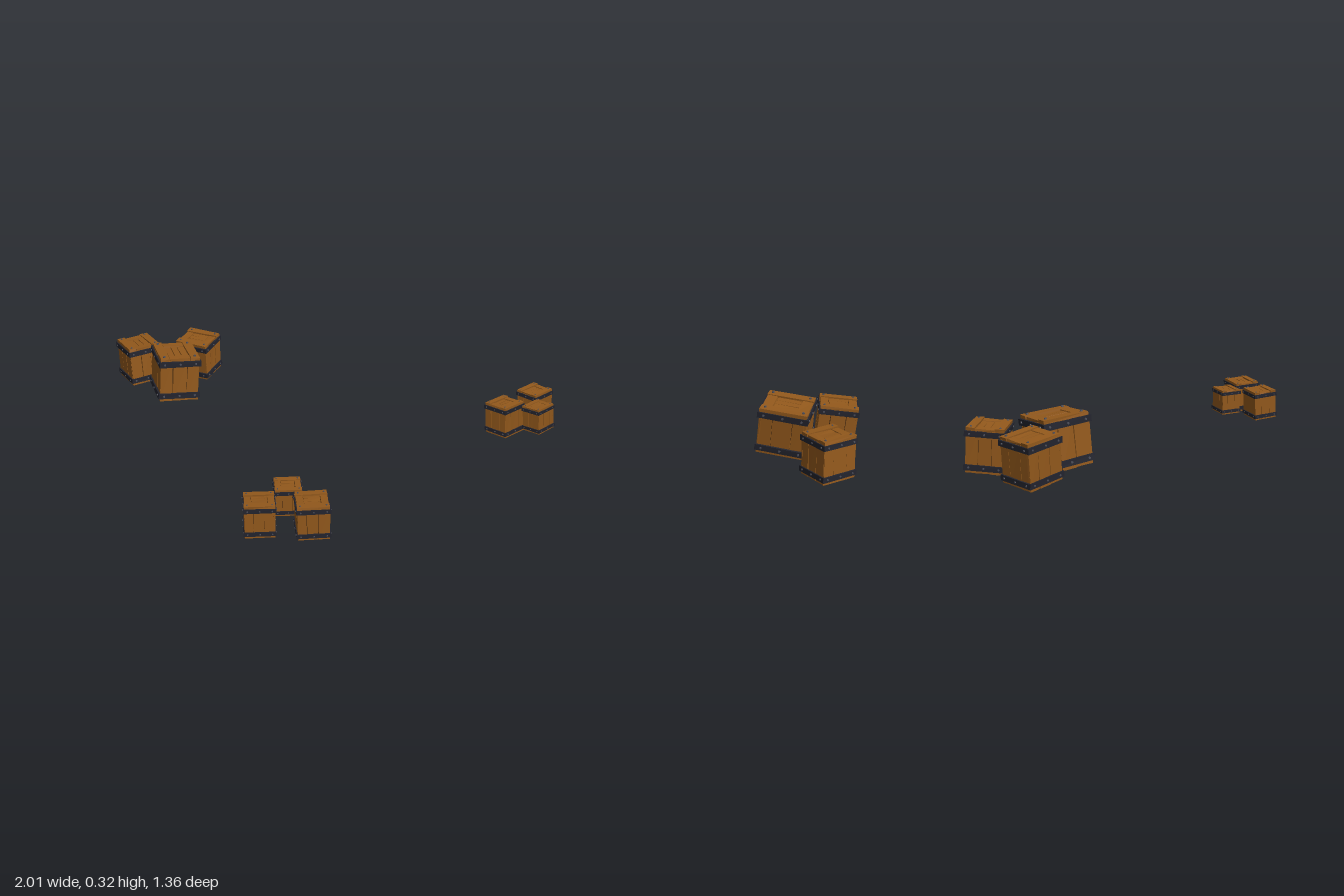
import * as THREE from 'three';

const mat = (name, color) => Object.assign(new THREE.MeshStandardMaterial({ color }), { name });

// small seeded generator for hand-cut irregularity
function makeRandom(seed) {
  let s = seed;
  return () => ((s = (s * 16807) % 2147483647) / 2147483647) - 0.5;
}

// box with eight slightly displaced corners
function roughBox(w, h, d, rand, jitter) {
  const geo = new THREE.BoxGeometry(w, h, d).toNonIndexed();
  const offsets = Array.from({ length: 8 }, () => [rand() * jitter, rand() * jitter, rand() * jitter]);
  const p = geo.attributes.position;
  for (let i = 0; i < p.count; i++) {
    const o = offsets[(p.getX(i) > 0) * 1 + (p.getY(i) > 0) * 2 + (p.getZ(i) > 0) * 4];
    p.setXYZ(i, p.getX(i) + o[0], p.getY(i) + o[1], p.getZ(i) + o[2]);
  }
  geo.computeVertexNormals();
  return geo;
}

function createCrate(w, h, d, seed, mats) {
  const crate = new THREE.Group();
  const rand = makeRandom(seed);
  const u = w; // proportional unit
  const add = (parent, name, geo, material, x, y, z) => {
    const m = new THREE.Mesh(geo, material);
    m.name = name;
    m.position.set(x, y, z);
    parent.add(m);
    return m;
  };
  const plank = (parent, name, sx, sy, sz, x, y, z) =>
    add(parent, name, roughBox(sx, sy, sz, rand, u * 0.018), mats.wood, x, y, z);
  const boltGeo = new THREE.CylinderGeometry(u * 0.022, u * 0.03, u * 0.03, 6);

  const iw = w * 0.95, id = d * 0.95;
  const bottom = -h / 2, wallTop = h * 0.42;
  const wallH = wallTop - bottom;

  // dark core seen only through the gaps
  add(crate, 'core', new THREE.BoxGeometry(iw * 0.93, wallH * 0.95, id * 0.93), mats.gap, 0, (bottom + wallTop) / 2, 0);

  // four walls: three upright planks, two iron bands and their bolts
  for (let side = 0; side < 4; side++) {
    const wall = new THREE.Group();
    wall.name = 'wall';
    wall.rotation.y = side * Math.PI / 2;
    crate.add(wall);
    const length = side % 2 ? id : iw;
    const depth = (side % 2 ? iw : id) / 2;
    const thick = u * 0.055;
    const cuts = [-0.5, -0.17 + rand() * 0.08, 0.17 + rand() * 0.08, 0.5];
    for (let i = 0; i < 3; i++) {
      const pw = (cuts[i + 1] - cuts[i]) * length;
      plank(wall, 'wallPlank', pw - u * 0.012, wallH, thick,
        (cuts[i] + cuts[i + 1]) / 2 * length, (bottom + wallTop) / 2, depth - thick / 2);
    }
    for (const y of [-0.38, 0.36]) {
      add(wall, 'ironBand', roughBox(length + u * 0.055, h * 0.125, u * 0.04, rand, u * 0.012),
        mats.iron, 0, h * y, depth + u * 0.012);
      for (const x of [-0.4, 0, 0.4]) {
        const bolt = add(wall, 'bandBolt', boltGeo, mats.bolt, x * length, h * y, depth + u * 0.036);
        bolt.rotation.x = Math.PI / 2;
      }
    }
  }

  // floor boards
  for (let i = 0; i < 4; i++) {
    plank(crate, 'floorBoard', iw * 0.97, u * 0.04, id * 0.235,
      0, bottom + u * 0.015, (i - 1.5) * id * 0.245);
  }

  // lid: two raised long battens, two cross boards and three centre boards
  const lid = new THREE.Group();
  lid.name = 'lid';
  lid.position.y = wallTop;
  crate.add(lid);
  const battenH = h * 0.075;
  for (const s of [-1, 1]) {
    plank(lid, 'lidBatten', iw, battenH, id * 0.23, 0, battenH / 2, s * id * 0.385);
    plank(lid, 'lidCrossBoard', iw * 0.22, battenH * 0.75, id * 0.52, s * iw * 0.375, battenH * 0.35, 0);
    for (const e of [-1, 1]) {
      add(lid, 'lidBolt', boltGeo, mats.bolt, e * iw * 0.4, battenH + u * 0.008, s * id * 0.39);
    }
  }
  for (let i = -1; i <= 1; i++) {
    plank(lid, 'lidCentreBoard', iw * 0.51, battenH * 0.6, id * 0.165, 0, battenH * 0.25, i * id * 0.175);
  }
  return crate;
}

export function createModel() {
  const model = new THREE.Group();
  model.name = 'floatingCrates';
  const mats = {
    wood: mat('wood', 0x93591c),
    gap: mat('darkGap', 0x3a220c),
    iron: mat('iron', 0x23242e),
    bolt: mat('boltMetal', 0x4c4d58),
  };
  // name, size w h d, centre x y z, yaw, tilt about x, tilt about z (degrees)
  const crates = [
    ['largeCrate', 0.272, 0.27, 0.243, -0.56, 0.168, -0.225, -36, -5, 0],
    ['leftCrate', 0.216, 0.235, 0.204, -0.858, 0.153, -0.23, -23.5, 0, 4.5],
    ['backCrate', 0.214, 0.235, 0.2, -0.658, 0.13, -0.553, 13, 4, 0],
    ['smallInnerCrate', 0.136, 0.147, 0.122, 0.7, 0.13, 0.36, 41, 0, 2],
    ['smallOuterCrate', 0.16, 0.178, 0.155, 0.882, 0.133, 0.414, 41, 0, 4],
    ['smallFrontCrate', 0.152, 0.168, 0.145, 0.688, 0.131, 0.567, 40, -2, 4],
  ];
  const rad = THREE.MathUtils.degToRad;
  crates.forEach(([name, w, h, d, x, y, z, yaw, tx, tz], i) => {
    const crate = createCrate(w, h, d, 137 * (i + 1), mats);
    crate.name = name;
    crate.position.set(x, y, z);
    crate.rotation.set(rad(tx), rad(yaw), rad(tz), 'XZY');
    model.add(crate);
  });
  return model;
}
